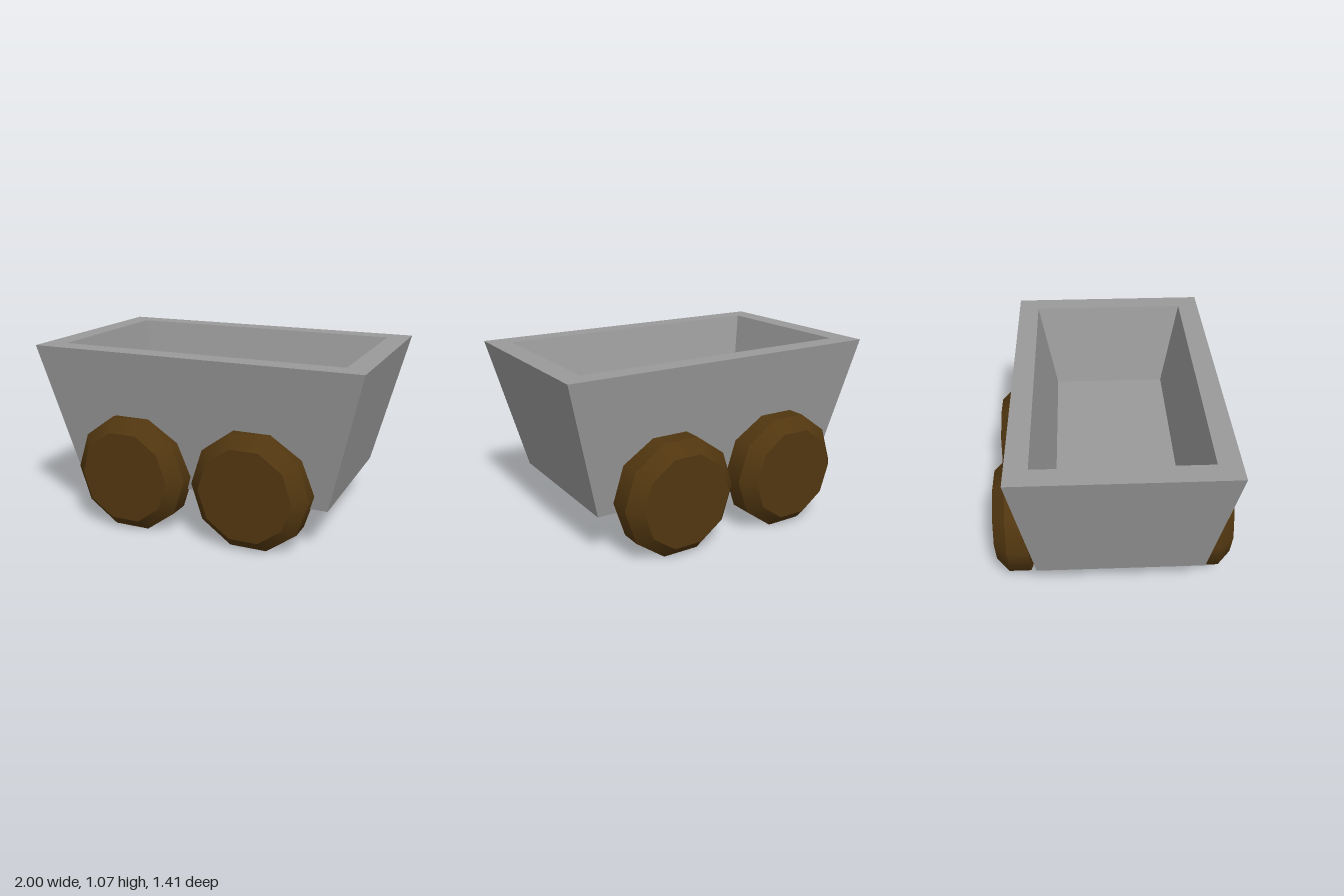
import * as THREE from 'three';

const stone = new THREE.MeshStandardMaterial({ color: 0x9a9a9a });
stone.name = 'grey';
const wood = new THREE.MeshStandardMaterial({ color: 0x523710 });
wood.name = 'darkBrown';

// Rectangle of four corners, counterclockwise from above
const ring = (y, x, zBack, zFront) => [[-x, y, zFront], [x, y, zFront], [x, y, zBack], [-x, y, zBack]];

// Hollow tapered tub: outer walls, rim, inner walls, floor and underside
function tubGeometry() {
  const rings = [
    ring(0.255, 0.8, -0.455, 0.525),
    ring(1.07, 1, -0.577, 0.645),
    ring(1.07, 0.87, -0.45, 0.515),
    ring(0.55, 0.75, -0.335, 0.4),
  ];
  const pos = [];
  const quad = (a, b, c, d) => pos.push(...a, ...b, ...c, ...a, ...c, ...d);
  for (let r = 0; r < 3; r++) {
    for (let i = 0; i < 4; i++) {
      const j = (i + 1) % 4;
      quad(rings[r][i], rings[r][j], rings[r + 1][j], rings[r + 1][i]);
    }
  }
  quad(...rings[3]);
  quad(...[...rings[0]].reverse());
  const geo = new THREE.BufferGeometry();
  geo.setAttribute('position', new THREE.Float32BufferAttribute(pos, 3));
  geo.computeVertexNormals();
  return geo;
}

// Ten-sided wheel facing +z: straight rim with a bevelled outer face
function makeWheel(name) {
  const wheel = new THREE.Group();
  wheel.name = name;
  const add = (part, geo, z) => {
    const mesh = new THREE.Mesh(geo, wood);
    mesh.name = part;
    mesh.position.z = z;
    wheel.add(mesh);
  };
  const drum = (rOut, rIn, depth) =>
    new THREE.CylinderGeometry(rOut, rIn, depth, 10, 1, true, Math.PI / 2).rotateX(Math.PI / 2);
  const disc = (r) => new THREE.CircleGeometry(r, 10);
  add('rim', drum(0.355, 0.355, 0.13), 0.065);
  add('bevel', drum(0.278, 0.355, 0.077), 0.1685);
  add('outerFace', disc(0.278), 0.207);
  add('innerFace', disc(0.355).rotateY(Math.PI), 0);
  return wheel;
}

export function createModel() {
  const model = new THREE.Group();
  model.name = 'cart';

  const tub = new THREE.Mesh(tubGeometry(), stone);
  tub.name = 'tub';
  model.add(tub);

  // Two wheels on each long side
  for (const [end, x] of [['Right', -0.39], ['Left', 0.37]]) {
    for (const side of [1, -1]) {
      const wheel = makeWheel((side > 0 ? 'front' : 'back') + end + 'Wheel');
      wheel.position.set(x, 0.338, side * 0.498);
      if (side < 0) wheel.rotation.y = Math.PI;
      model.add(wheel);
    }
  }
  return model;
}
